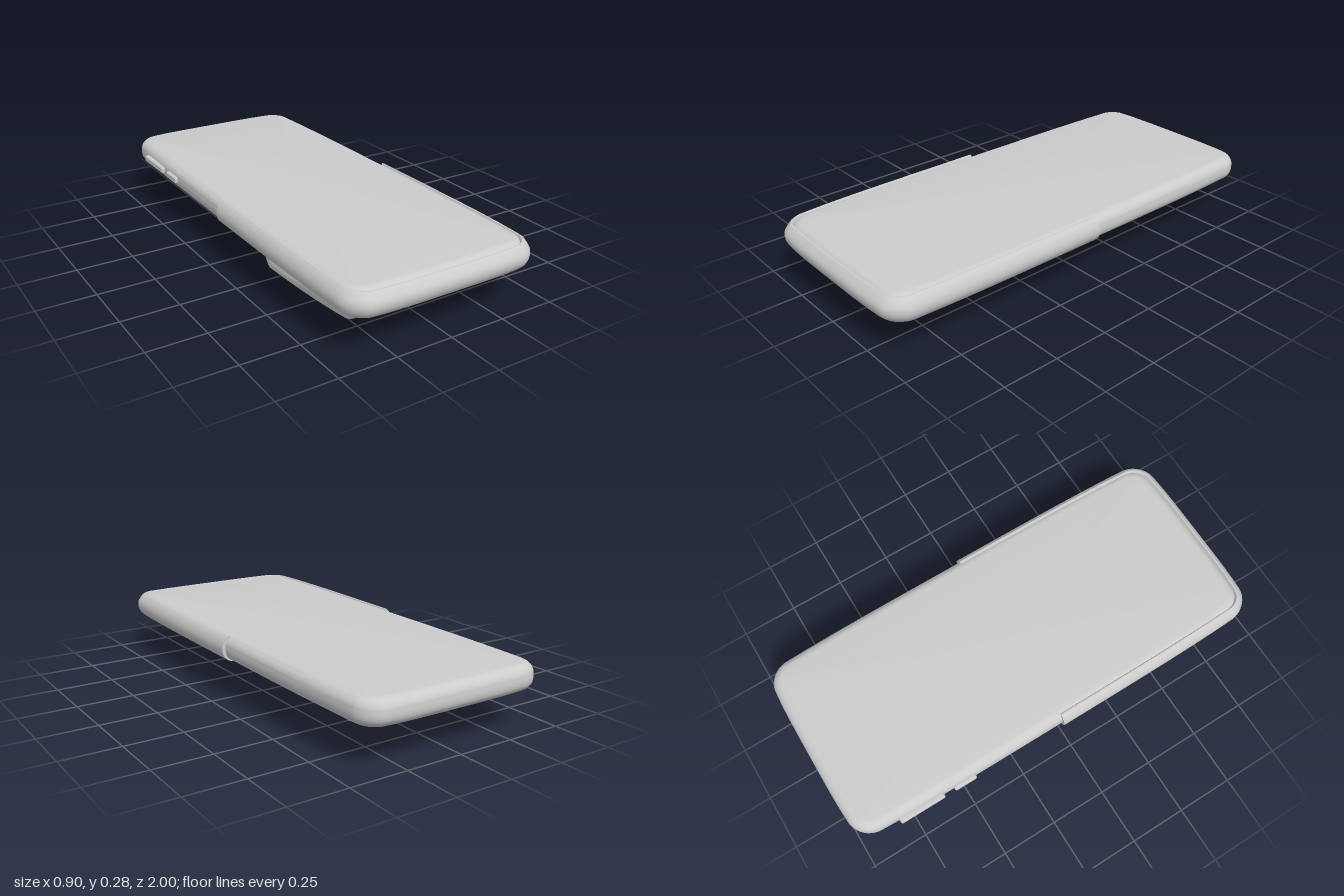
import * as THREE from 'three';
import { toCreasedNormals } from 'three/addons/utils/BufferGeometryUtils.js';
import { RoundedBoxGeometry } from 'three/addons/geometries/RoundedBoxGeometry.js';

const material = new THREE.MeshStandardMaterial({ color: 0xcccccc, side: THREE.DoubleSide });

function addMesh(parent, name, geometry, x = 0, y = 0, z = 0) {
  const mesh = new THREE.Mesh(geometry, material);
  mesh.name = name;
  mesh.position.set(x, y, z);
  parent.add(mesh);
  return mesh;
}

// Half plan outline from (+w, 0) round the +z end to (-w, 0), softly bowed
function halfOutline(w, l, r) {
  const quarter = [];
  for (let i = 0; i < 8; i++) quarter.push([w, (l - r) * i / 8]);
  for (let i = 0; i <= 10; i++) {
    const a = Math.PI / 2 * i / 10;
    quarter.push([w - r + r * Math.cos(a), l - r + r * Math.sin(a)]);
  }
  for (let i = 1; i <= 6; i++) quarter.push([(w - r) * (1 - i / 6), l]);
  const bowed = quarter.map(([x, z]) => [
    x * (1 - 0.035 * (z / l) ** 4), z * (1 - 0.018 * (x / w) ** 4)]);
  return bowed.concat(bowed.slice(0, -1).reverse().map(([x, z]) => [-x, z]));
}

// Sweeps a profile of [inset, y] round the outline; inset null closes at the centre
function shell(w, l, r, profile, full, drop = 0) {
  const pos = [], index = [], n = profile.length;
  let m = 0;
  for (const [d, y] of profile) {
    const inset = d ?? 0;
    let ring = halfOutline(w - inset, l - inset, Math.max(r - inset, 0.02));
    if (full) ring = ring.concat(ring.slice(1).map(([x, z]) => [-x, -z]));
    m = ring.length;
    for (const [x, z] of ring) {
      const lower = y > 0.25 ? drop * Math.abs(z / l) ** 8 : 0;
      if (d === null) pos.push(0, y, 0);
      else pos.push(x, y - lower, z);
    }
  }
  for (let j = 0; j < n - 1; j++) {
    for (let i = 0; i < m - 1; i++) {
      const a = j * m + i, b = a + m;
      if (profile[j][0] !== null) index.push(a, b, a + 1);
      if (profile[j + 1][0] !== null) index.push(b, b + 1, a + 1);
    }
  }
  const g = new THREE.BufferGeometry();
  g.setAttribute('position', new THREE.Float32BufferAttribute(pos, 3));
  g.setIndex(index);
  return toCreasedNormals(g, 0.55);
}

export function createModel() {
  const model = new THREE.Group();
  model.name = 'phoneWithClipCase';

  // Phone slab with rounded edges
  const y0 = 0.167, y1 = 0.278, e = 0.048;
  const phoneProfile = [[null, y0]];
  for (let i = 0; i <= 8; i++) {
    const a = Math.PI / 2 * i / 8;
    phoneProfile.push([e * (1 - Math.sin(a)), y0 + e * (1 - Math.cos(a))]);
  }
  for (let i = 0; i <= 8; i++) {
    const a = Math.PI / 2 * i / 8;
    phoneProfile.push([e * (1 - Math.cos(a)), y1 - e * (1 - Math.sin(a))]);
  }
  phoneProfile.push([null, y1]);
  addMesh(model, 'phoneBody', shell(0.434, 0.985, 0.09, phoneProfile, true), 0, 0, -0.015);

  // Half case: open over the screen, with a lip round the edge
  const caseProfile = [[null, 0.163], [0.06, 0.163], [0.042, 0.166], [0.025, 0.174],
    [0.01, 0.189], [0.002, 0.207], [0, 0.222], [0.002, 0.239], [0.01, 0.257],
    [0.02, 0.271], [0.03, 0.279], [0.036, 0.279], [0.042, 0.268]];
  const phoneCase = new THREE.Group();
  phoneCase.name = 'halfCase';
  phoneCase.position.z = -0.015;
  model.add(phoneCase);
  addMesh(phoneCase, 'caseShell', shell(0.45, 1.015, 0.1, caseProfile, false, 0.008));

  // Cut edge of the case
  const side = caseProfile.slice(1).map(([d, y]) => new THREE.Vector2(0.45 - d, y));
  const mirrored = side.map(p => new THREE.Vector2(-p.x, p.y)).reverse();
  addMesh(phoneCase, 'caseCutEdge', new THREE.ShapeGeometry(new THREE.Shape([...side, ...mirrored])));

  // Belt clip: a closed loop drawn in (z, y) and extruded across x
  const clip = new THREE.Shape();
  clip.moveTo(0.745, 0.152);
  clip.quadraticCurveTo(0.79, 0.142, 0.79, 0.102);
  clip.quadraticCurveTo(0.785, 0.062, 0.74, 0.05);
  clip.quadraticCurveTo(0.5, 0.018, 0.17, 0.01);
  clip.lineTo(0.155, 0.018);
  clip.lineTo(0.12, 0.07);
  clip.lineTo(0.158, 0.152);
  clip.closePath();
  const hole = new THREE.Path();
  hole.moveTo(0.74, 0.128);
  hole.lineTo(0.18, 0.11);
  hole.lineTo(0.158, 0.08);
  hole.lineTo(0.18, 0.047);
  hole.quadraticCurveTo(0.5, 0.05, 0.73, 0.08);
  hole.quadraticCurveTo(0.765, 0.088, 0.766, 0.106);
  hole.quadraticCurveTo(0.763, 0.128, 0.74, 0.128);
  clip.holes.push(hole);
  const width = 0.215, bevel = 0.01;
  const clipGeometry = new THREE.ExtrudeGeometry(clip, {
    depth: width - 0.036, bevelEnabled: true, bevelThickness: 0.018,
    bevelSize: bevel, bevelSegments: 3, curveSegments: 10 });
  clipGeometry.translate(0, 0, -(width - 0.036) / 2).rotateY(-Math.PI / 2);
  addMesh(model, 'beltClip', toCreasedNormals(clipGeometry, 0.5), -0.193, 0, 0);

  // Two rear camera lenses, ringed and facing down
  const lensProfile = [[0, 0.008], [0.02, 0.008], [0.022, 0.012], [0.034, 0.012],
    [0.042, 0.004], [0.05, 0], [0.066, 0], [0.072, 0.005], [0.072, 0.022]]
    .map(([r, y]) => new THREE.Vector2(r, y));
  const lens = toCreasedNormals(new THREE.LatheGeometry(lensProfile, 40), 0.5);
  for (const z of [-0.615, -0.805]) addMesh(model, 'cameraLens', lens, 0.303, 0.15, z);

  // Flash beside the lenses
  addMesh(model, 'flash', new RoundedBoxGeometry(0.02, 0.02, 0.06, 2, 0.004), 0.146, 0.161, -0.8);

  // Side buttons
  for (const [z, length] of [[-0.705, 0.21], [-0.5, 0.105]]) {
    addMesh(model, 'sideButton', new RoundedBoxGeometry(0.04, 0.03, length, 3, 0.008), -0.428, 0.223, z);
  }
  return model;
}
